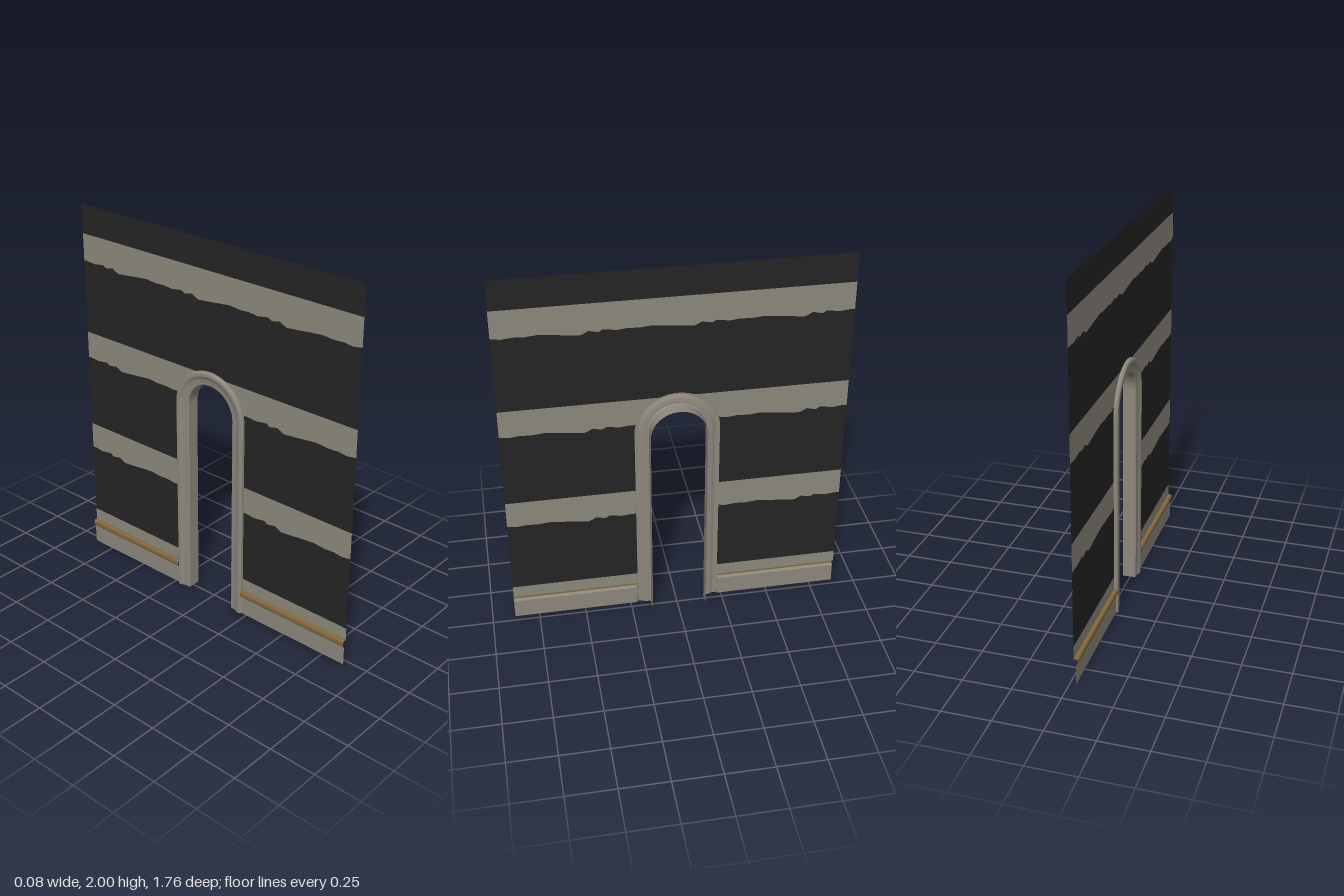
import * as THREE from 'three';

const material = (name, color) =>
  new THREE.MeshStandardMaterial({ name, color, side: THREE.DoubleSide });

const HALF = 0.88;        // half the wall's length along z
const WALL_X = -0.021;    // plane of the wall
const ARCH_Z = -0.006;    // doorway centre
const SPRING = 1.1;       // height where the arch starts to curve
const HOLE = 0.218;       // half width of the opening in the wall
const SKIRT = 0.142;      // top of the skirting
const REPEAT = 0.545;     // repeat of the stripe pattern, both ways

// Ragged lower edge of a pale stripe: [distance from z = 0.88, height offset]
const RAGGED = [
  [0, 0.002], [0.05, -0.006], [0.1, 0], [0.16, -0.003], [0.22, 0.003], [0.29, -0.004],
  [0.36, -0.012], [0.42, -0.018], [0.44, -0.01], [0.46, 0.002], [0.49, -0.005],
  [0.51, -0.008], [0.53, 0.004], [REPEAT, 0.002],
];

function raggedOffset(z) {
  const d = (HALF - z) % REPEAT;
  let i = 1;
  while (i < RAGGED.length - 1 && RAGGED[i][0] < d) i++;
  const [d0, y0] = RAGGED[i - 1], [d1, y1] = RAGGED[i];
  return y0 + (y1 - y0) * (d - d0) / (d1 - d0);
}

// Surface between two lines of points, leaving out cells of no height
function strip(name, lineA, lineB, mat) {
  const index = [];
  const n = lineA.length;
  for (let i = 0; i < n - 1; i++) {
    const flat = lineA[i].distanceTo(lineB[i]) + lineA[i + 1].distanceTo(lineB[i + 1]) < 1e-6;
    if (!flat) index.push(i, i + 1, n + i, i + 1, n + i + 1, n + i);
  }
  const geometry = new THREE.BufferGeometry().setFromPoints([...lineA, ...lineB]);
  geometry.setIndex(index);
  geometry.computeVertexNormals();
  const mesh = new THREE.Mesh(geometry, mat);
  mesh.name = name;
  return mesh;
}

// Height of the doorway at a given z
function openingHeight(z) {
  const d = Math.abs(z - ARCH_Z);
  return d < HOLE ? SPRING + Math.sqrt(HOLE * HOLE - d * d) : 0;
}

// z positions for the wall, closer together at the sides of the arch
function wallColumns() {
  const columns = [];
  for (let i = 0; i <= 176; i++) columns.push(HALF - i * 0.01);
  for (let i = 0; i <= 32; i++) columns.push(ARCH_Z + (HOLE - 1e-5) * Math.cos(Math.PI * i / 32));
  columns.push(ARCH_Z + HOLE + 1e-5, ARCH_Z - HOLE - 1e-5);
  return columns.sort((a, b) => b - a);
}

function createWall(dark, pale) {
  const wall = new THREE.Group();
  wall.name = 'stripedWall';
  const columns = wallColumns();
  const band = (name, low, high, mat) => {
    const line = (edge) => columns.map((z) =>
      new THREE.Vector3(WALL_X, Math.max(edge(z), openingHeight(z)), z));
    wall.add(strip(name, line(low), line(high), mat));
  };
  const straight = (k) => () => 0.21 + k * REPEAT;
  const ragged = (k) => (z) => 0.61 + k * REPEAT + raggedOffset(z);
  band('paleStripe', () => SKIRT, straight(0), pale);
  for (let k = 0; k < 3; k++) {
    band('darkStripe', straight(k), ragged(k), dark);
    band('paleStripe', ragged(k), straight(k + 1), pale);
  }
  band('darkStripe', straight(3), () => 2, dark);
  return wall;
}

// Outline of the doorway at a given half width: up, over and down
function archLine(radius, x) {
  const points = [new THREE.Vector3(x, 0, ARCH_Z + radius)];
  for (let i = 0; i <= 28; i++) {
    const a = Math.PI * i / 28;
    points.push(new THREE.Vector3(x, SPRING + radius * Math.sin(a), ARCH_Z + radius * Math.cos(a)));
  }
  points.push(new THREE.Vector3(x, 0, ARCH_Z - radius));
  return points;
}

function createDoorway(trim) {
  const doorway = new THREE.Group();
  doorway.name = 'doorway';
  // Profile from the deep inner lining round to the outer rim: [half width, x]
  const profile = [
    [0.145, 0.041], [0.145, -0.024], [0.152, -0.03], [0.163, -0.03],
    [0.182, -0.033], [0.198, -0.041], [0.214, -0.041], [0.222, -0.034], [0.222, WALL_X],
  ];
  for (let i = 0; i < profile.length - 1; i++) {
    doorway.add(strip(i === 0 ? 'archLining' : 'archCasing',
      archLine(...profile[i]), archLine(...profile[i + 1]), trim));
  }
  return doorway;
}

function createSkirting(trim, gold) {
  const skirting = new THREE.Group();
  skirting.name = 'skirting';
  // Profile from the wall down to the floor: [x, y]
  const profile = [
    [WALL_X, SKIRT], [-0.036, SKIRT], [-0.041, 0.135], [-0.041, 0.115], [-0.032, 0.102], [-0.031, 0],
  ];
  const names = ['skirtingLedge', 'goldBead', 'goldBead', 'skirtingCove', 'skirtingBoard'];
  const sides = [[HALF, ARCH_Z + 0.22], [ARCH_Z - 0.22, -HALF]];
  for (const ends of sides) {
    names.forEach((name, i) => {
      const line = ([x, y]) => ends.map((z) => new THREE.Vector3(x, y, z));
      skirting.add(strip(name, line(profile[i]), line(profile[i + 1]), i < 3 ? gold : trim));
    });
  }
  return skirting;
}

export function createModel() {
  const dark = material('charcoal', 0x242424);
  const pale = material('warmGrey', 0x8c887c);
  const trim = material('stoneTrim', 0x8e887d);
  const gold = material('dullGold', 0x86693a);

  const model = new THREE.Group();
  model.name = 'archedWallPanel';
  model.add(createWall(dark, pale), createDoorway(trim), createSkirting(trim, gold));
  return model;
}
